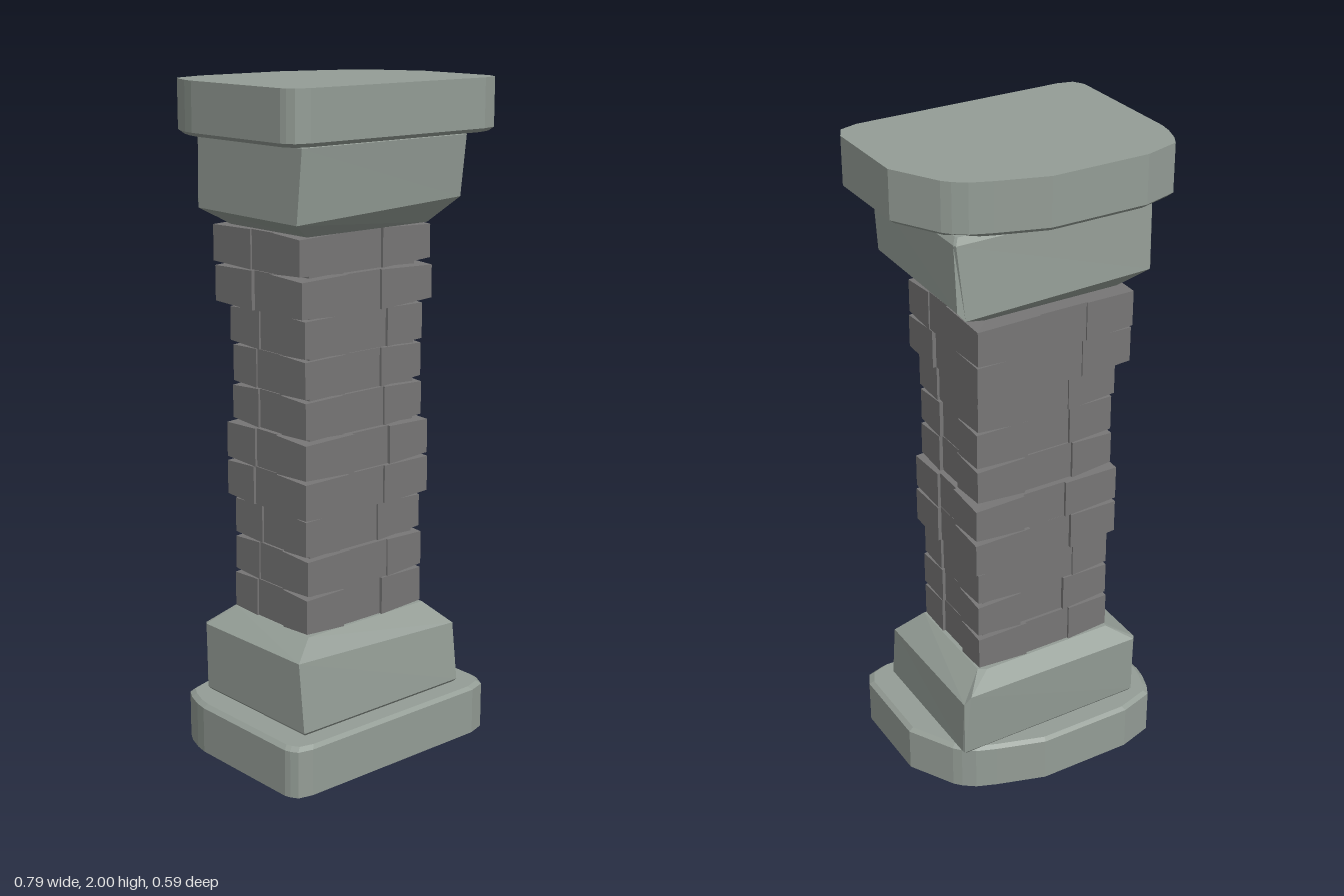
import * as THREE from 'three';

const stone = new THREE.MeshStandardMaterial({ color: 0x949d96, flatShading: true });
const brickMat = new THREE.MeshStandardMaterial({ color: 0x777676, flatShading: true });

// Seeded jitter in the range -1..1
let seed = 7;
const jitter = () => {
  seed = (seed * 16807) % 2147483647;
  return (seed / 2147483647) * 2 - 1;
};

// Closed solid through convex rings of [x, y, z], listed from bottom to top
function loft(rings) {
  const pos = [];
  const n = rings[0].length;
  const centre = (r) => [0, 1, 2].map((k) => r.reduce((s, p) => s + p[k], 0) / n);
  const low = rings[0], high = rings[rings.length - 1];
  const cLow = centre(low), cHigh = centre(high);
  for (let i = 0; i < n; i++) {
    const j = (i + 1) % n;
    for (let r = 0; r + 1 < rings.length; r++) {
      const a = rings[r][i], b = rings[r][j], c = rings[r + 1][j], d = rings[r + 1][i];
      pos.push(...a, ...c, ...b, ...a, ...d, ...c);
    }
    pos.push(...cLow, ...low[i], ...low[j], ...cHigh, ...high[j], ...high[i]);
  }
  const g = new THREE.BufferGeometry();
  g.setAttribute('position', new THREE.Float32BufferAttribute(pos, 3));
  g.computeVertexNormals();
  return g;
}

// Same solid turned upside down about mid height
const flip = (rings) => rings.map((r) => r.map(([x, y, z]) => [x, 2 - y, z])).reverse();

function addMesh(parent, name, geometry, material) {
  const mesh = new THREE.Mesh(geometry, material);
  mesh.name = name;
  parent.add(mesh);
}

// Worn slab outline (x, z), clockwise from the back left
const outline = [
  [-0.243, -0.297], [0.053, -0.297], [0.2, -0.25], [0.26, -0.226], [0.295, -0.2], [0.315, -0.178],
  [0.392, -0.04], [0.392, 0.235], [0.37, 0.277], [0.315, 0.294], [-0.33, 0.294], [-0.375, 0.283],
  [-0.388, 0.262], [-0.394, 0.245], [-0.394, -0.14], [-0.387, -0.18], [-0.37, -0.23], [-0.35, -0.265],
];
const slabRing = (y, s) => outline.map(([x, z]) => [x * s, y, z * s]);
const slabRings = [slabRing(0, 1), slabRing(0.142, 1), slabRing(0.153, 0.965)];

// Leaning block with an uneven shoulder, tapering to the shaft
const blockRings = [
  [[-0.295, 0.145, -0.22], [0.29, 0.145, -0.22], [0.293, 0.145, -0.21],
    [0.293, 0.145, 0.218], [-0.295, 0.145, 0.218], [-0.297, 0.145, -0.21]],
  [[-0.305, 0.162, -0.233], [0.303, 0.162, -0.235], [0.306, 0.162, -0.225],
    [0.306, 0.162, 0.232], [-0.31, 0.162, 0.232], [-0.31, 0.162, -0.225]],
  [[-0.3, 0.365, -0.242], [0.285, 0.375, -0.247], [0.306, 0.35, -0.24],
    [0.305, 0.342, 0.211], [-0.31, 0.37, 0.209], [-0.31, 0.365, -0.23]],
  [[-0.225, 0.415, -0.195], [0.2, 0.415, -0.195], [0.225, 0.415, -0.18],
    [0.227, 0.415, 0.155], [-0.228, 0.415, 0.155], [-0.228, 0.415, -0.18]],
];

// Brick spanning x0..x1, y0..y1, z0..z1, pinched in height at the shaft's corners
function brick(x0, x1, y0, y1, z0, z1, sx, sz) {
  const g = new THREE.BoxGeometry(x1 - x0, y1 - y0, z1 - z0);
  g.translate((x0 + x1) / 2, (y0 + y1) / 2, (z0 + z1) / 2);
  const p = g.attributes.position;
  const mx = (x0 + x1) / 2, my = (y0 + y1) / 2, mz = (z0 + z1) / 2;
  const pinch = 0.007 + 0.003 * jitter();
  for (let i = 0; i < p.count; i++) {
    const x = p.getX(i), y = p.getY(i), z = p.getZ(i);
    if ((x - mx) * sx > 0 || (z - mz) * sz > 0) {
      const corner = (sx === 0 || (x - mx) * sx > 0) && (sz === 0 || (z - mz) * sz > 0);
      const amount = sx && sz && corner ? pinch : 0.001;
      p.setY(i, y + (y < my ? amount : -amount));
      // Outer corners are worn slightly inwards
      if (sx && sz && corner) p.setZ(i, z - sz * 0.006);
    }
  }
  g.computeVertexNormals();
  return g;
}

// Courses from bottom to top: left, right, back, front, first seam, second seam
const courses = [
  [-0.228, 0.222, -0.192, 0.155, -0.09, 0.06],
  [-0.226, 0.222, -0.19, 0.157, -0.07, 0.08],
  [-0.224, 0.222, -0.192, 0.147, -0.1, 0.05],
  [-0.238, 0.238, -0.21, 0.164, -0.08, 0.06],
  [-0.238, 0.236, -0.21, 0.164, -0.06, 0.08],
  [-0.226, 0.222, -0.195, 0.15, -0.09, 0.07],
  [-0.224, 0.222, -0.193, 0.146, -0.08, 0.06],
  [-0.228, 0.222, -0.2, 0.15, -0.07, 0.08],
  [-0.253, 0.242, -0.236, 0.168, -0.09, 0.04],
  [-0.25, 0.246, -0.247, 0.155, -0.095, 0.055],
];

export function createModel() {
  const group = new THREE.Group();
  group.name = 'stonePillar';

  addMesh(group, 'baseSlab', loft(slabRings), stone);
  addMesh(group, 'topSlab', loft(flip(slabRings)), stone);
  addMesh(group, 'baseBlock', loft(blockRings), stone);
  addMesh(group, 'capitalBlock', loft(flip(blockRings)), stone);

  const shaft = new THREE.Group();
  shaft.name = 'brickShaft';
  group.add(shaft);

  const core = new THREE.BoxGeometry(0.4, 1.2, 0.3);
  core.translate(0, 1, -0.02);
  addMesh(shaft, 'shaftCore', core, brickMat);

  // Ring of eight bricks in each course
  const pitch = 0.1172;
  courses.forEach(([left, right, back, front, s1, s2], row) => {
    const y0 = 0.414 + row * pitch;
    const y1 = y0 + pitch;
    const xs = [left, s1, s2, right];
    const zs = [back, -0.07 + 0.012 * jitter(), 0.03 + 0.012 * jitter(), front];
    for (let i = 0; i < 3; i++) {
      for (let k = 0; k < 3; k++) {
        if (i === 1 && k === 1) continue;
        const sx = i - 1, sz = k - 1;
        // Side bricks sit a little behind the corner bricks
        const recess = sx && sz ? 0 : 0.008 + 0.004 * jitter();
        const x0 = xs[i] + (sx < 0 ? recess : 0), x1 = xs[i + 1] - (sx > 0 ? recess : 0);
        const z0 = zs[k] + (sz < 0 ? recess : 0), z1 = zs[k + 1] - (sz > 0 ? recess : 0);
        addMesh(shaft, 'brick', brick(x0, x1, y0, y1, z0, z1, sx, sz), brickMat);
      }
    }
  });
  return group;
}
